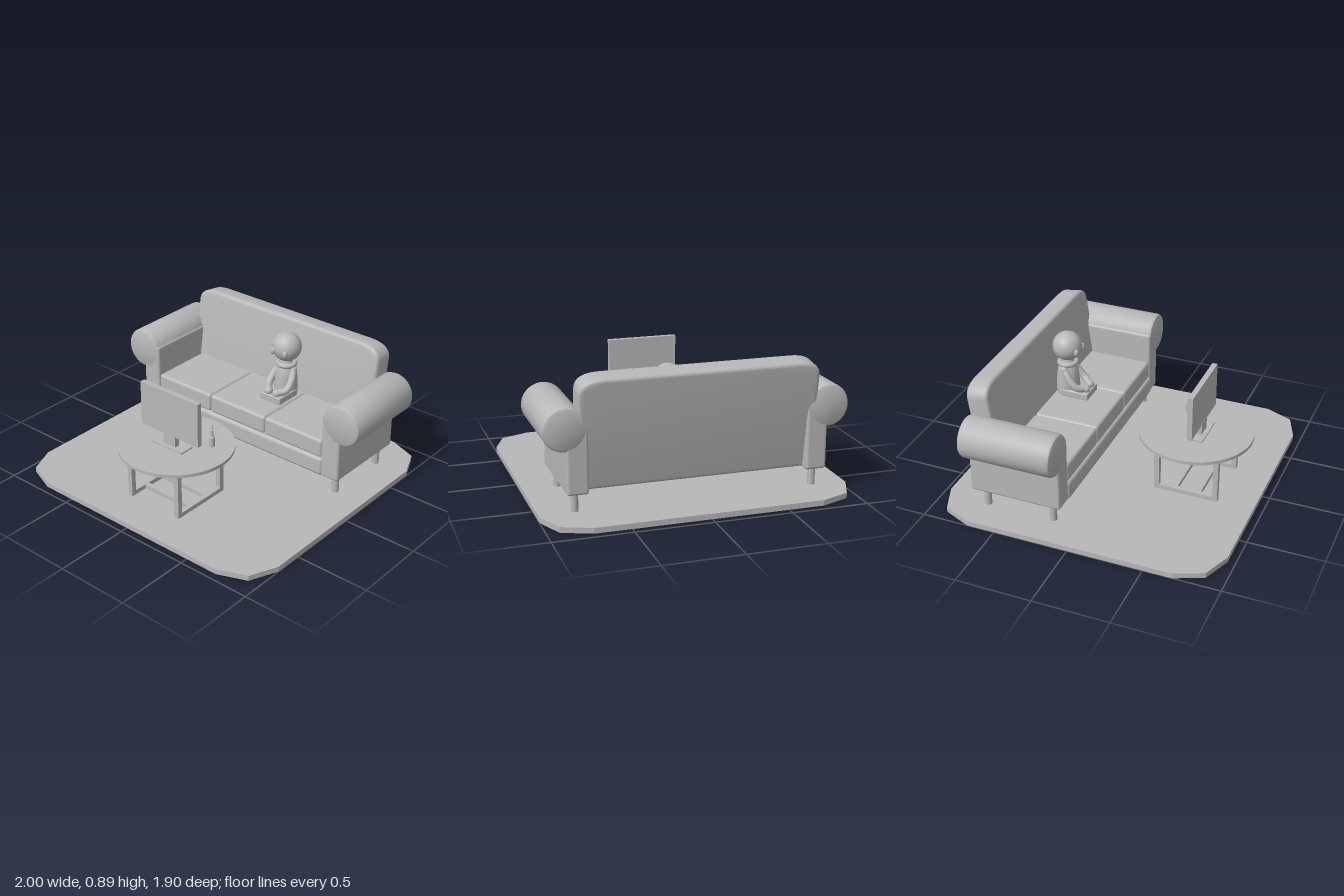
import * as THREE from 'three';
import { RoundedBoxGeometry } from 'three/addons/geometries/RoundedBoxGeometry.js';
import { toCreasedNormals } from 'three/addons/utils/BufferGeometryUtils.js';

const clay = new THREE.MeshStandardMaterial({ color: 0xb8b8b8 });
clay.name = 'light grey';

function add(parent, name, geometry, x = 0, y = 0, z = 0) {
  const mesh = new THREE.Mesh(geometry, clay);
  mesh.name = name;
  mesh.position.set(x, y, z);
  parent.add(mesh);
  return mesh;
}

function group(parent, name) {
  const g = new THREE.Group();
  g.name = name;
  parent.add(g);
  return g;
}

// Box given by its lower and upper limits, optionally with rounded edges
function block(parent, name, [x0, x1], [y0, y1], [z0, z1], r = 0) {
  const s = [x1 - x0, y1 - y0, z1 - z0];
  const geo = r ? new RoundedBoxGeometry(...s, 4, r) : new THREE.BoxGeometry(...s);
  return add(parent, name, geo, (x0 + x1) / 2, (y0 + y1) / 2, (z0 + z1) / 2);
}

const lathe = (points, n = 32) => toCreasedNormals(
  new THREE.LatheGeometry(points.map(p => new THREE.Vector2(...p)), n), 0.6);

function tube(points, r) {
  const curve = new THREE.CatmullRomCurve3(points.map(p => new THREE.Vector3(...p)));
  return new THREE.TubeGeometry(curve, 16, r, 12);
}

function buildRug(root) {
  const shape = new THREE.Shape();
  const corner = [[1, 0.69], [0.92, 0.875], [0.73, 0.95]];
  const pts = [];
  for (const [sx, sy] of [[1, 1], [-1, 1], [-1, -1], [1, -1]]) {
    const c = corner.map(([x, y]) => new THREE.Vector2(x * sx, y * sy));
    pts.push(...(sx * sy > 0 ? c : c.reverse()));
  }
  shape.setFromPoints(pts);
  const geo = new THREE.ExtrudeGeometry(shape, { depth: 0.036, bevelEnabled: false });
  geo.rotateX(-Math.PI / 2);
  add(root, 'rug', geo);
}

function buildSofa(root) {
  const sofa = group(root, 'sofa');
  block(sofa, 'seatBase', [-0.715, 0.715], [0.16, 0.29], [-0.66, -0.105], 0.025);
  for (let i = -1; i <= 1; i++) {
    block(sofa, 'seatCushion', [i * 0.467 - 0.233, i * 0.467 + 0.233], [0.285, 0.415], [-0.62, -0.118], 0.02);
  }

  // Leaning backrest with rounded upper corners
  const b = 0.022, w = 0.763 - b, h = 0.715 - b, s = new THREE.Shape();
  s.moveTo(-w + 0.03, b);
  s.lineTo(w - 0.03, b);
  s.quadraticCurveTo(w, b, w, b + 0.03);
  s.lineTo(w, h - 0.07);
  s.quadraticCurveTo(w, h, w - 0.14, h);
  s.lineTo(-w + 0.14, h);
  s.quadraticCurveTo(-w, h, -w, h - 0.07);
  s.lineTo(-w, b + 0.03);
  s.quadraticCurveTo(-w, b, -w + 0.03, b);
  const back = new THREE.ExtrudeGeometry(s, {
    depth: 0.15 - 2 * b, bevelThickness: b, bevelSize: b, bevelSegments: 4, curveSegments: 10 });
  back.translate(0, 0, b - 0.075);
  add(sofa, 'backrest', toCreasedNormals(back, 0.6), 0, 0.175, -0.597).rotation.x = -0.15;

  // Rolled arms and feet
  const L = 0.3125, R = 0.138;
  const roll = lathe([[0, -L], [R - 0.022, -L], [R - 0.007, -L + 0.007], [R, -L + 0.022],
    [R, L - 0.022], [R - 0.007, L - 0.007], [R - 0.022, L], [0, L]], 40);
  roll.rotateX(Math.PI / 2);
  for (const side of [-1, 1]) {
    const arm = group(sofa, side > 0 ? 'leftArm' : 'rightArm');
    const x = [side * 0.70, side * 0.837].sort((p, q) => p - q);
    block(arm, 'armPanel', x, [0.16, 0.62], [-0.735, -0.115], 0.018);
    add(arm, 'armRoll', roll, side * 0.84, 0.572, -0.425);
    for (const z of [-0.19, -0.65]) {
      add(arm, 'sofaFoot', new THREE.CylinderGeometry(0.024, 0.024, 0.14, 20), side * 0.775, 0.1, z);
    }
  }
}

function buildTable(root) {
  const table = group(root, 'coffeeTable');
  add(table, 'tableTop', new THREE.CylinderGeometry(0.375, 0.375, 0.022, 64), 0.003, 0.392, 0.482);
  const t = 0.017;
  for (const x of [-0.2, 0.2]) {
    for (const z of [0.29, 0.69]) {
      block(table, 'tableLeg', [x - t, x + t], [0.036, 0.382], [z - t, z + t]);
    }
    block(table, 'sideRail', [x - t, x + t], [0.036, 0.066], [0.3, 0.68]);
  }
  for (const z of [0.41, 0.57]) {
    block(table, 'crossRail', [-0.2, 0.2], [0.037, 0.065], [z - t, z + t]);
  }
}

function buildMonitor(root) {
  const monitor = group(root, 'monitor');
  block(monitor, 'standBase', [-0.131, 0.119], [0.402, 0.413], [0.458, 0.565]);
  block(monitor, 'standNeck', [-0.055, 0.042], [0.41, 0.5], [0.5, 0.535]);
  // Panel with a raised rim around the screen, which faces the sofa
  const x0 = -0.245, x1 = 0.231, y0 = 0.483, y1 = 0.785, e = 0.014;
  block(monitor, 'panel', [x0, x1], [y0, y1], [0.506, 0.533]);
  for (const y of [y0, y1 - e]) block(monitor, 'bezel', [x0, x1], [y, y + e], [0.498, 0.506]);
  for (const x of [x0, x1 - e]) block(monitor, 'bezel', [x, x + e], [y0 + e, y1 - e], [0.498, 0.506]);
}

function buildBottle(root) {
  add(root, 'bottle', lathe([[0, 0], [0.018, 0], [0.018, 0.065], [0.011, 0.075], [0.011, 0.115],
    [0.004, 0.118], [0.002, 0.153], [0, 0.153]], 20), 0.195, 0.402, 0.358);
}

function buildFigure(root) {
  const figure = group(root, 'seatedFigure');
  figure.position.set(0.13, 0.412, -0.485);
  add(figure, 'head', new THREE.SphereGeometry(0.099, 32, 24), 0, 0.35, 0);
  add(figure, 'torso', lathe([[0, 0], [0.078, 0], [0.08, 0.06], [0.074, 0.14], [0.064, 0.2],
    [0.045, 0.235], [0.04, 0.27], [0, 0.27]]));
  const collar = new THREE.TorusGeometry(0.055, 0.018, 12, 32);
  collar.rotateX(Math.PI / 2);
  add(figure, 'collar', collar, 0, 0.228, 0);
  block(figure, 'lap', [-0.083, 0.083], [0, 0.05], [-0.02, 0.175], 0.008);
  for (const s of [-1, 1]) {
    const eye = add(figure, 'eye', new THREE.SphereGeometry(0.018, 16, 12), s * 0.05, 0.335, 0.087);
    eye.scale.set(1, 1.45, 0.9);
    add(figure, 'arm', tube([[s * 0.058, 0.195, 0], [s * 0.078, 0.13, 0.045],
      [s * 0.074, 0.08, 0.095], [s * 0.036, 0.066, 0.14]], 0.025));
    add(figure, 'shoulder', new THREE.SphereGeometry(0.027, 16, 12), s * 0.058, 0.195, 0);
    add(figure, 'hand', new THREE.SphereGeometry(0.028, 16, 12), s * 0.034, 0.064, 0.145);
  }
}

export function createModel() {
  const root = new THREE.Group();
  root.name = 'livingRoomSet';
  buildRug(root);
  buildSofa(root);
  buildTable(root);
  buildMonitor(root);
  buildBottle(root);
  buildFigure(root);
  return root;
}
